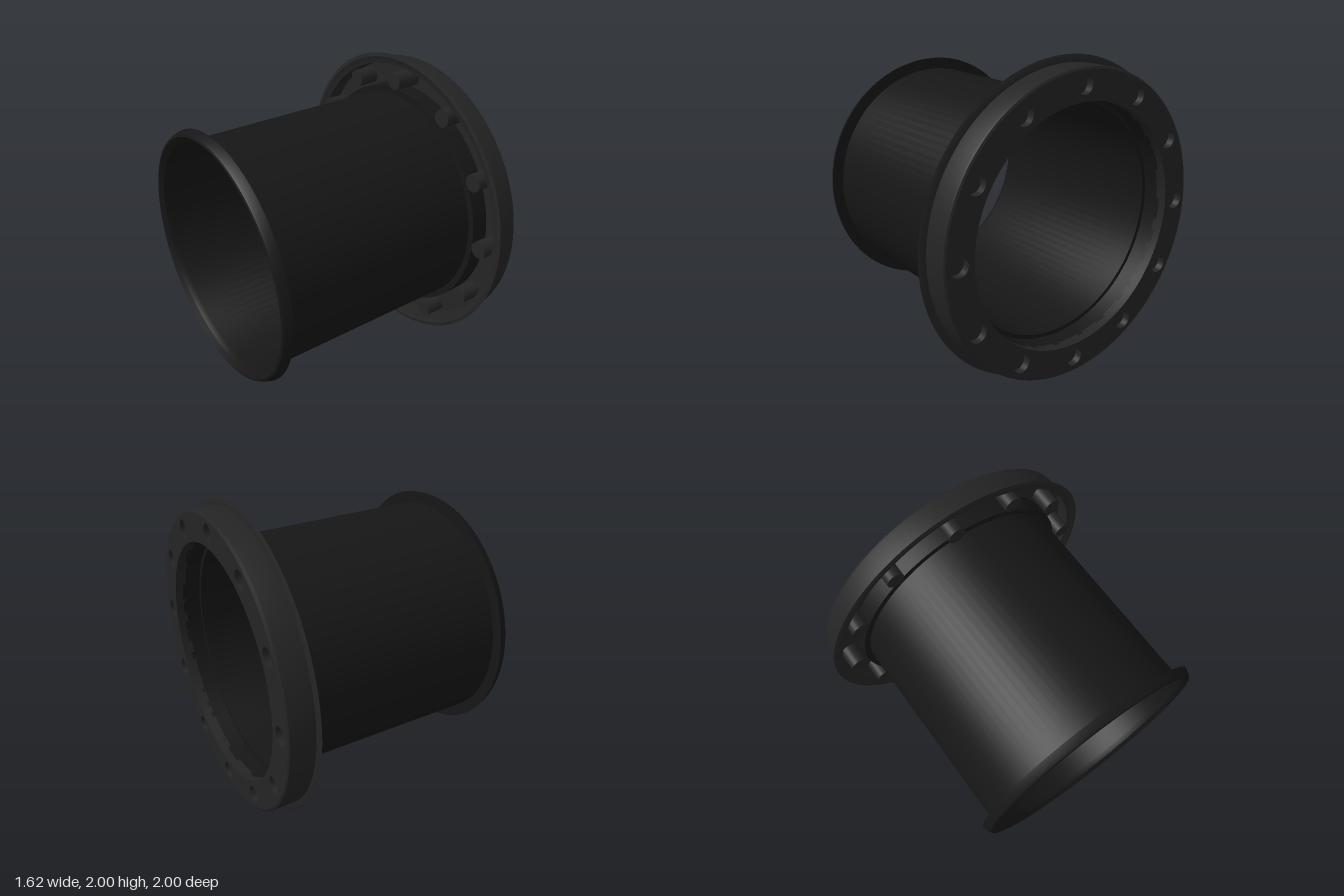
import * as THREE from 'three';
import { toCreasedNormals } from 'three/addons/utils/BufferGeometryUtils.js';

const SEGMENTS = 96;
const BOLTS = 12, BOLT_CIRCLE = 0.855, BOLT_RADIUS = 0.057;
const dark = new THREE.MeshStandardMaterial({ color: 0x161616 });
const grey = new THREE.MeshStandardMaterial({ color: 0x242424 });

// Revolves a closed [x, radius] section about the x axis (outer side runs towards +x).
function ring(name, section, material) {
  const points = [...section, section[0]].map(([x, r]) => new THREE.Vector2(r, x));
  const geometry = toCreasedNormals(new THREE.LatheGeometry(points, SEGMENTS), 0.4);
  geometry.rotateZ(-Math.PI / 2);
  const mesh = new THREE.Mesh(geometry, material);
  mesh.name = name;
  return mesh;
}

function circlePath(x, y, r) {
  return new THREE.Path().absarc(x, y, r, 0, Math.PI * 2, true);
}

export function createModel() {
  const model = new THREE.Group();
  model.name = 'flangedPipe';
  const body = new THREE.Group();
  body.name = 'pipeAssembly';
  body.position.y = 1;
  model.add(body);

  // Thin pipe with a flared bead on its open end
  body.add(ring('pipe', [
    [-0.81, 0.78], [-0.805, 0.793], [-0.79, 0.802], [-0.75, 0.815], [-0.75, 0.74],
    [0.64, 0.74], [0.64, 0.733], [-0.75, 0.733], [-0.785, 0.745],
  ], dark));

  // Hub joining the pipe to the flange, with a wider bore
  body.add(ring('hub', [
    [0.625, 0.735], [0.625, 0.782], [0.76, 0.782], [0.76, 0.76], [0.64, 0.76], [0.64, 0.735],
  ], dark));

  // Outer rim with a chamfered front and a flared lip at the back
  body.add(ring('flangeRim', [
    [0.645, 0.93], [0.64, 0.955], [0.63, 0.975], [0.635, 1], [0.645, 0.975], [0.645, 0.955],
    [0.79, 0.955], [0.803, 0.952], [0.81, 0.94], [0.75, 0.925],
  ], grey));

  // Face plate pierced by the bore and the bolt holes
  const shape = new THREE.Shape().absarc(0, 0, 0.94, 0, Math.PI * 2, false);
  shape.holes.push(circlePath(0, 0, 0.76));
  const angles = Array.from({ length: BOLTS }, (_, i) => (i / BOLTS) * Math.PI * 2);
  for (const a of angles) {
    shape.holes.push(circlePath(Math.cos(a) * BOLT_CIRCLE, Math.sin(a) * BOLT_CIRCLE, BOLT_RADIUS));
  }
  const plateGeometry = toCreasedNormals(
    new THREE.ExtrudeGeometry(shape, { depth: 0.07, bevelEnabled: false, curveSegments: 48 }), 0.4);
  plateGeometry.rotateY(Math.PI / 2).translate(0.74, 0, 0);
  const plate = new THREE.Mesh(plateGeometry, grey);
  plate.name = 'flangePlate';
  body.add(plate);

  // Bolts sunk in the holes; the top one reaches further back
  const bolts = new THREE.Group();
  bolts.name = 'bolts';
  for (const a of angles) {
    const back = Math.sin(a) > 0.99 ? 0.573 : 0.603;
    const front = 0.765;
    const geometry = new THREE.CylinderGeometry(BOLT_RADIUS, BOLT_RADIUS, front - back, 24);
    geometry.rotateZ(-Math.PI / 2);
    const bolt = new THREE.Mesh(geometry, grey);
    bolt.name = 'bolt';
    bolt.position.set((front + back) / 2, Math.sin(a) * BOLT_CIRCLE, -Math.cos(a) * BOLT_CIRCLE);
    bolts.add(bolt);
  }
  body.add(bolts);

  return model;
}
